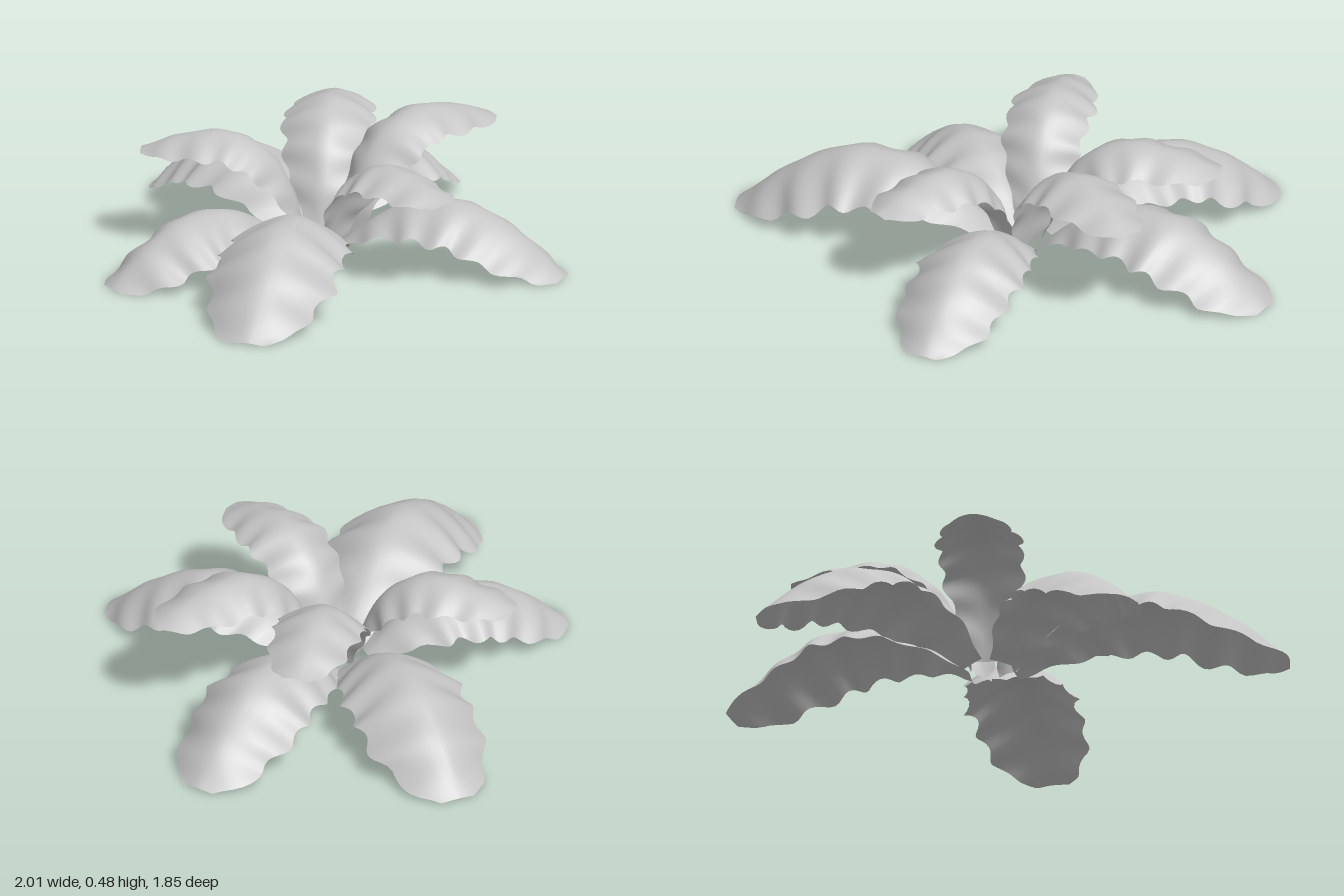
import * as THREE from 'three';

// midrib shapes: [fraction of reach, fraction of peak height]
const LOW_RIB = [[0, 0.16], [0.17, 0.64], [0.32, 0.92], [0.46, 1], [0.6, 0.95], [0.8, 0.6], [1, 0.03]];
const HIGH_RIB = [[0, 0.12], [0.06, 0.46], [0.17, 0.75], [0.33, 0.93], [0.5, 1], [0.78, 0.94], [1, 0.82]];

// half width along the leaf: [position, fraction of full width]
const OUTLINE = [[0, 0.28], [0.15, 0.62], [0.3, 0.88], [0.5, 1], [0.7, 0.98], [0.85, 0.84], [0.95, 0.62], [1, 0.3]];

// root x/z, tip x/z, peak height, half width
const LOW_LEAVES = [
  [-0.04, 0.07, -0.99, 0.41, 0.3, 0.23],
  [-0.05, -0.03, -0.75, -0.35, 0.23, 0.2],
  [0.05, -0.06, 0.42, -0.91, 0.28, 0.22],
  [0.1, -0.01, 1, -0.17, 0.27, 0.21],
  [0.06, 0.08, 0.29, 0.91, 0.25, 0.2],
];
const HIGH_LEAVES = [
  [0.01, -0.03, -0.25, -0.57, 0.44, 0.15],
  [0.08, -0.02, 0.65, -0.33, 0.46, 0.16],
  [0.09, 0.09, 0.73, 0.27, 0.48, 0.16],
  [0, 0.09, -0.12, 0.67, 0.42, 0.15],
];

function outlineAt(u) {
  let i = 0;
  while (i < OUTLINE.length - 2 && u > OUTLINE[i + 1][0]) i++;
  const [a, wa] = OUTLINE[i], [b, wb] = OUTLINE[i + 1];
  return wa + (wb - wa) * (u - a) / (b - a);
}

// arched, crinkled blade swept along a curved midrib
function leafGeometry([x0, z0, x1, z1, peak, half], rib, droop, phase) {
  const ROWS = 48, COLS = 12;
  const curve = new THREE.CatmullRomCurve3(rib.map(([r, h]) =>
    new THREE.Vector3(x0 + (x1 - x0) * r, h * peak, z0 + (z1 - z0) * r)));
  const side = new THREE.Vector3(z0 - z1, 0, x1 - x0).normalize();
  const positions = [], index = [];
  const p = new THREE.Vector3(), up = new THREE.Vector3();
  for (let i = 0; i <= ROWS; i++) {
    const u = i / ROWS;
    const mid = curve.getPointAt(u);
    up.crossVectors(side, curve.getTangentAt(u)).normalize();
    if (up.y < 0) up.negate();
    const w = outlineAt(u);
    for (let j = 0; j <= COLS; j++) {
      const s = (j / COLS) * 2 - 1, a = Math.abs(s);
      const wave = u * Math.PI * 12 + phase + (s > 0 ? 1.3 : 0);
      const lobe = 1 + a * (0.07 * Math.sin(wave) + 0.03 * Math.sin(wave * 0.53 + phase));
      const sag = droop * half * w * w * Math.pow(a, 1.6);
      const ripple = 0.05 * half * a * w * Math.sin(wave - a * 2);
      p.copy(mid).addScaledVector(side, s * w * half * lobe).addScaledVector(up, ripple - sag);
      positions.push(p.x, Math.max(0, p.y), p.z);
    }
  }
  const n = COLS + 1;
  for (let i = 0; i < ROWS; i++) {
    for (let j = 0; j < COLS; j++) {
      const k = i * n + j;
      index.push(k, k + 1, k + n, k + 1, k + n + 1, k + n);
    }
  }
  const g = new THREE.BufferGeometry();
  g.setAttribute('position', new THREE.Float32BufferAttribute(positions, 3));
  g.setIndex(index);
  g.computeVertexNormals();
  return g;
}

export function createModel() {
  const model = new THREE.Group();
  model.name = 'leafyPlant';
  const grey = new THREE.MeshStandardMaterial({ color: 0xc4c4c4, side: THREE.DoubleSide });
  grey.name = 'leaf grey';

  const addLeaves = (list, rib, droop, name) => list.forEach((leaf, i) => {
    const mesh = new THREE.Mesh(leafGeometry(leaf, rib, droop, i * 1.7), grey);
    mesh.name = name + (i + 1);
    model.add(mesh);
  });
  // spreading outer leaves, then raised inner leaves
  addLeaves(LOW_LEAVES, LOW_RIB, 0.6, 'outerLeaf');
  addLeaves(HIGH_LEAVES, HIGH_RIB, 0.5, 'innerLeaf');
  return model;
}
